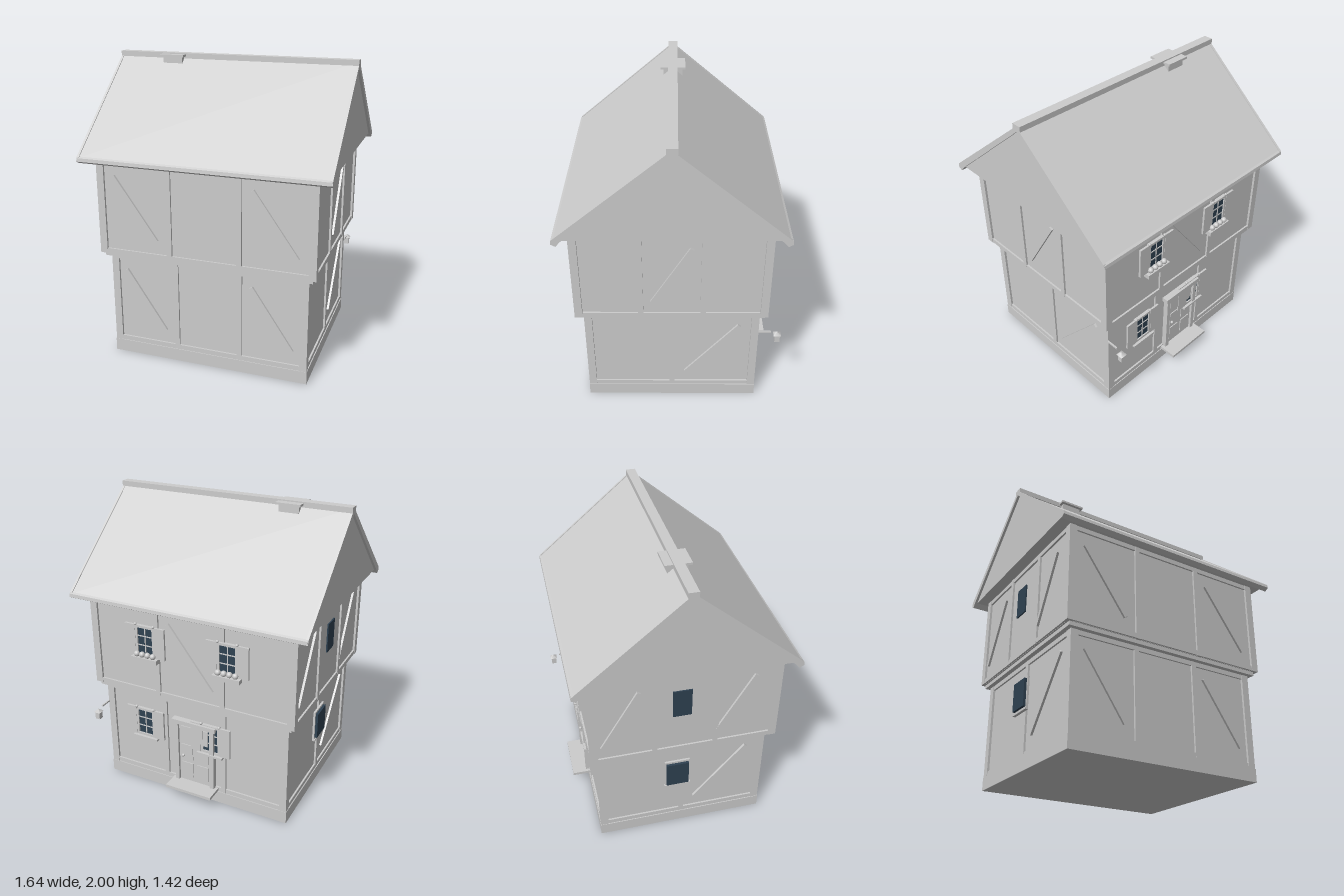
import * as THREE from 'three';

export function createModel() {
  const house = new THREE.Group();
  house.name = 'timberHouse';
  const plaster = new THREE.MeshStandardMaterial({ color: 0xcccccc });
  plaster.name = 'pale grey';
  const glass = new THREE.MeshStandardMaterial({ color: 0x2f4252 });
  glass.name = 'dark glass';

  const add = (parent, name, geo, x, y, z, mat = plaster) => {
    const m = new THREE.Mesh(geo, mat);
    m.name = name;
    m.position.set(x, y, z);
    parent.add(m);
    return m;
  };
  const box = (parent, name, w, h, d, x, y, z, mat) =>
    add(parent, name, new THREE.BoxGeometry(w, h, d), x, y, z, mat);

  // Sloping timber between two points on a wall face
  const brace = (face, [u1, v1, u2, v2]) => {
    const m = box(face, 'brace', Math.hypot(u2 - u1, v2 - v1) + 0.02, 0.026, 0.02,
      (u1 + u2) / 2, (v1 + v2) / 2, -0.01);
    m.rotation.z = Math.atan2(v2 - v1, u2 - u1);
  };

  // One storey: wall core, corner posts and four framed faces
  function storey(name, hx, z0, z1, y0, y1, layout) {
    const g = new THREE.Group();
    g.name = name;
    house.add(g);
    const zc = (z0 + z1) / 2, hz = (z1 - z0) / 2, h = y1 - y0, yc = (y0 + y1) / 2;
    box(g, 'wall', hx * 2 - 0.03, h, hz * 2 - 0.03, 0, yc, zc);
    for (const sx of [-1, 1]) for (const sz of [-1, 1])
      box(g, 'cornerPost', 0.05, h, 0.05, sx * (hx - 0.025), yc, zc + sz * (hz - 0.025));
    const place = {
      front: [0, zc + hz, 0, hx], right: [hx, zc, Math.PI / 2, hz],
      back: [0, zc - hz, Math.PI, hx], left: [-hx, zc, -Math.PI / 2, hz],
    };
    const faces = {};
    for (const [side, [x, z, turn, half]] of Object.entries(place)) {
      const face = new THREE.Group();
      face.name = side + 'Face';
      face.position.set(x, 0, z);
      face.rotation.y = turn;
      g.add(face);
      const w = half * 2 - 0.1;
      box(face, 'bottomBeam', w, 0.032, 0.02, 0, y0 + 0.018, -0.013);
      box(face, 'topBeam', w, 0.034, 0.02, 0, y1 - 0.018, -0.013);
      for (const u of layout[side].posts) box(face, 'post', 0.034, h, 0.02, u, yc, -0.012);
      for (const b of layout[side].braces) brace(face, b);
      faces[side] = face;
    }
    return faces;
  }

  // Plinth, jetty band and the two storeys
  box(house, 'plinth', 1.36, 0.086, 1.14, 0, 0.043, 0.008);
  const lower = storey('groundFloor', 0.677, -0.56, 0.576, 0.084, 0.725, {
    front: { posts: [-0.217, 0.222], braces: [[-0.57, 0.61, -0.305, 0.217], [0.305, 0.61, 0.57, 0.217]] },
    right: { posts: [0], braces: [[0.1, 0.215, 0.435, 0.615]] },
    back: { posts: [-0.22, 0.22], braces: [] },
    left: { posts: [0], braces: [[0.1, 0.215, 0.435, 0.615]] },
  });
  box(house, 'jettyBand', 1.41, 0.025, 1.195, 0, 0.7325, 0.008);
  const upper = storey('upperFloor', 0.73, -0.605, 0.625, 0.745, 1.4, {
    front: { posts: [-0.235, 0.235], braces: [[-0.61, 1.27, -0.33, 0.875], [0.325, 1.27, 0.605, 0.875]] },
    right: { posts: [-0.195, 0.2], braces: [[-0.117, 0.875, 0.12, 1.27]] },
    back: { posts: [-0.235, 0.235], braces: [[-0.145, 1.27, 0.155, 0.875]] },
    left: { posts: [-0.2, 0.2], braces: [[-0.53, 0.875, -0.3, 1.27], [0.215, 0.875, 0.44, 1.27]] },
  });

  // Shuttered window with two by three panes
  function shutteredWindow(face, u, v, flowers) {
    const g = new THREE.Group();
    g.name = 'shutteredWindow';
    g.position.set(u, v, 0);
    face.add(g);
    box(g, 'pane', 0.12, 0.19, 0.008, 0, 0, 0.001, glass);
    for (const s of [-1, 1]) {
      box(g, 'frameSide', 0.016, 0.21, 0.022, s * 0.062, 0, 0.003);
      box(g, 'frameRail', 0.14, 0.016, 0.022, 0, s * 0.098, 0.003);
      box(g, 'glazingBar', 0.12, 0.007, 0.012, 0, s * 0.032, 0.003);
      box(g, 'shutter', 0.075, 0.215, 0.014, s * 0.108, 0, 0.008);
      add(g, 'hingeKnob', new THREE.SphereGeometry(0.01, 8, 6), s * 0.066, 0.112, 0.012);
    }
    box(g, 'glazingBar', 0.007, 0.19, 0.012, 0, 0, 0.003);
    if (flowers) {
      box(g, 'flowerBox', 0.19, 0.03, 0.042, 0, -0.125, 0.02);
      for (let i = 0; i < 4; i++)
        add(g, 'flower', new THREE.SphereGeometry(0.02, 10, 8), -0.06 + i * 0.04, -0.093, 0.022);
    } else box(g, 'sill', 0.19, 0.014, 0.034, 0, -0.115, 0.014);
  }
  shutteredWindow(upper.back, -0.31, 1.135, true);
  shutteredWindow(upper.back, 0.28, 1.135, true);
  shutteredWindow(lower.back, -0.37, 0.49, false);
  shutteredWindow(lower.back, 0.13, 0.49, false);

  // Side windows
  box(upper.left, 'sidePane', 0.12, 0.2, 0.009, -0.025, 1.145, -0.003, glass);
  box(lower.left, 'sideWindowFrame', 0.17, 0.22, 0.014, -0.035, 0.49, 0.005);
  box(lower.left, 'sideWindowSill', 0.18, 0.012, 0.02, -0.035, 0.384, 0.01);
  box(lower.left, 'sideWindowPane', 0.15, 0.185, 0.018, -0.035, 0.493, 0.02, glass);

  // Door with frame, panels, knob and step
  const door = new THREE.Group();
  door.name = 'door';
  door.position.set(0.01, 0, 0);
  lower.back.add(door);
  box(door, 'doorLeaf', 0.25, 0.46, 0.02, 0, 0.34, -0.005);
  for (const s of [-1, 1]) {
    box(door, 'doorJamb', 0.03, 0.47, 0.036, s * 0.133, 0.34, 0.005);
    for (let r = 0; r < 3; r++)
      box(door, 'doorPanel', 0.085, 0.115, 0.008, s * 0.058, 0.2 + r * 0.142, 0.007);
  }
  box(door, 'lintel', 0.325, 0.03, 0.045, 0, 0.575, 0.008);
  add(door, 'knob', new THREE.SphereGeometry(0.011, 10, 8), -0.085, 0.315, 0.016);
  box(door, 'step', 0.34, 0.02, 0.13, 0, 0.101, 0.055);

  // Lantern on its bracket
  box(house, 'lanternBracket', 0.01, 0.01, 0.08, 0.677, 0.575, -0.6);
  box(house, 'lanternBody', 0.034, 0.055, 0.034, 0.678, 0.53, -0.683);
  const cap = add(house, 'lanternCap', new THREE.ConeGeometry(0.034, 0.022, 4), 0.678, 0.565, -0.683);
  cap.rotation.y = Math.PI / 4;

  // Roof: gable body, sloping slabs, bargeboards and eave trim
  const roof = new THREE.Group();
  roof.name = 'roof';
  roof.position.z = 0.006;
  house.add(roof);
  const extrudeX = (name, pts, x0, x1) => {
    const shape = new THREE.Shape(pts.map(([z, y]) => new THREE.Vector2(-z, y)));
    const geo = new THREE.ExtrudeGeometry(shape, { depth: x1 - x0, bevelEnabled: false });
    geo.rotateY(Math.PI / 2);
    add(roof, name, geo, x0, 0, 0);
  };
  extrudeX('gable', [[0.66, 1.395], [-0.66, 1.395], [0, 1.958]], -0.803, 0.803);
  for (const s of [-1, 1]) {
    const slab = lift => [[0, 1.985 + lift], [0.694, 1.403 + lift], [0.702, 1.38],
      [0.673, 1.364], [0.645, 1.396], [0, 1.955]].map(([z, y]) => [z * s, y]);
    extrudeX('roofSlope', slab(0), -0.805, 0.805);
    for (const x of [-0.82, 0.804]) extrudeX('bargeboard', slab(0.006), x, x + 0.016);
    extrudeX('eaveTrim', [[0.682, 1.412], [0.7, 1.402], [0.703, 1.38], [0.682, 1.38]]
      .map(([z, y]) => [z * s, y]), -0.818, 0.818);
  }
  box(roof, 'ridgeBeam', 1.64, 0.035, 0.064, 0, 1.9825, -0.002);

  // Chimney straddling the ridge
  box(roof, 'chimneyStack', 0.135, 0.09, 0.125, -0.423, 1.94, -0.003);
  box(roof, 'chimneyCap', 0.168, 0.014, 0.166, -0.424, 1.985, -0.003);

  return house;
}
